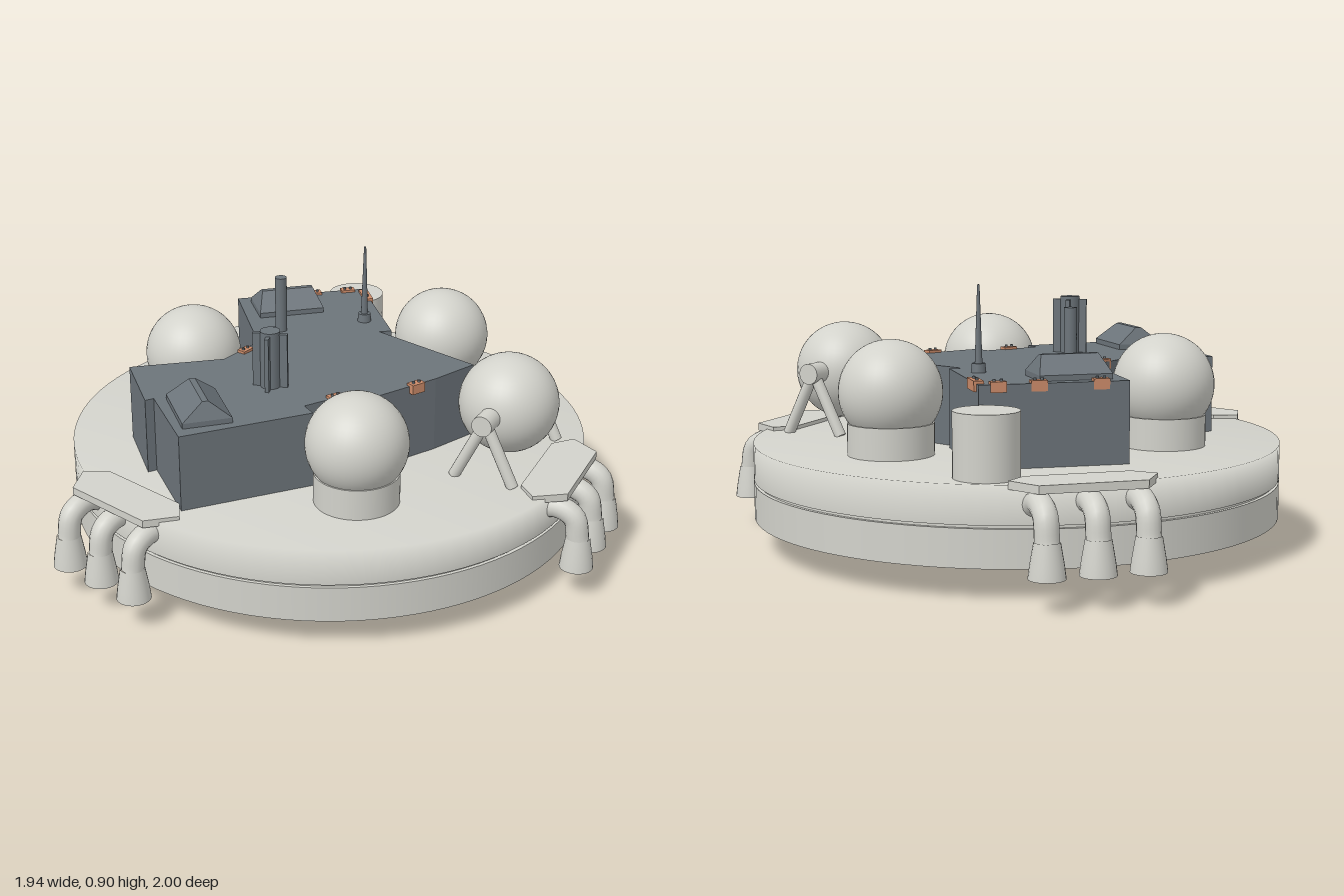
import * as THREE from 'three';
import { ConvexGeometry } from 'three/addons/geometries/ConvexGeometry.js';

const CX = 0.07, CZ = -0.04, DECK = 0.355, ROOF = 0.62;

export function createModel() {
  const root = new THREE.Group();
  const material = (name, color, side = THREE.FrontSide) =>
    Object.assign(new THREE.MeshStandardMaterial({ color, side }), { name });
  const hull = material('hull white', 0xd2d2cb);
  const slate = material('slate grey', 0x6c747a);
  const copper = material('copper', 0xcc8c6a);
  slate.side = THREE.DoubleSide;

  const add = (name, geometry, mat, x = 0, y = 0, z = 0, parent = root) => {
    const mesh = new THREE.Mesh(geometry, mat);
    mesh.name = name;
    mesh.position.set(x, y, z);
    parent.add(mesh);
    return mesh;
  };
  const group = (name, x, y, z, turn = 0) => {
    const g = new THREE.Group();
    g.name = name;
    g.position.set(x, y, z);
    g.rotation.y = turn;
    root.add(g);
    return g;
  };
  const lathe = (pts, n = 64) => new THREE.LatheGeometry(pts.map(p => new THREE.Vector2(...p)), n);
  const cyl = (r1, r2, h, n = 24) => new THREE.CylinderGeometry(r1, r2, h, n);
  // Cylinder between two points
  const rod = (name, a, b, r, mat, parent) => {
    const from = new THREE.Vector3(...a), to = new THREE.Vector3(...b);
    const dir = to.clone().sub(from);
    const m = add(name, cyl(r, r, dir.length(), 16), mat, 0, 0, 0, parent);
    m.position.copy(from).add(to).multiplyScalar(0.5);
    m.quaternion.setFromUnitVectors(new THREE.Vector3(0, 1, 0), dir.normalize());
  };
  // Flat outline in x, z raised from y0 by h
  const slab = (outline, y0, h) => {
    const shape = new THREE.Shape(outline.map(([x, z]) => new THREE.Vector2(x, -z)));
    const g = new THREE.ExtrudeGeometry(shape, { depth: h, bevelEnabled: false });
    return g.rotateX(-Math.PI / 2).translate(0, y0, 0);
  };

  // Saucer hull: two discs with a thin groove; the upper rim shades softly
  add('lowerHull', cyl(0.9, 0.9, 0.122, 96), hull, CX, 0.161, CZ);
  add('hullGroove', cyl(0.888, 0.888, 0.02, 96), hull, CX, 0.227, CZ);
  add('upperHull', lathe([[0.9, 0.232], [0.9, DECK], [0, DECK]], 96), hull, CX, 0, CZ);
  add('upperHullUnderside', new THREE.RingGeometry(0.88, 0.9, 96).rotateX(Math.PI / 2), hull, CX, 0.232, CZ);
  add('engineHub', cyl(0.39, 0.39, 0.08, 64), hull, CX, 0.062, CZ);

  // One central engine and three around it
  const engine = lathe([[0, 0.019], [0.05, 0.016], [0.078, 0.008], [0.09, 0], [0.092, 0.023]], 32);
  add('centralEngine', engine, slate, CX, 0, CZ);
  for (const deg of [72, 192, 312]) {
    const a = deg * Math.PI / 180;
    add('outerEngine', engine, slate, CX + 0.25 * Math.cos(a), 0, CZ + 0.25 * Math.sin(a));
  }

  // Thruster pods: a hexagonal plate over three bent nozzles
  const plate = slab([[-0.17, -0.2], [-0.235, -0.14], [-0.17, -0.04],
    [0.17, -0.04], [0.235, -0.14], [0.17, -0.2]], 0.342, 0.026);
  const bend = new THREE.TubeGeometry(new THREE.CatmullRomCurve3([
    [0.28, -0.17], [0.308, -0.08], [0.28, -0.018], [0.2, 0],
  ].map(([y, z]) => new THREE.Vector3(0, y, z))), 16, 0.038, 16);
  const bell = lathe([[0, 0.16], [0.03, 0.15], [0.034, 0.1], [0.034, 0.1], [0.057, 0.1],
    [0.057, 0.1], [0.052, 0.14], [0.04, 0.21]], 24);
  for (const [x, z, deg] of [[0.365, 0.89, 71.6], [0.645, -0.857, 303.1], [-0.91, -0.155, 180]]) {
    const a = deg * Math.PI / 180;
    const pod = group('thrusterPod', x, 0, z, Math.atan2(Math.cos(a), Math.sin(a)));
    add('podPlate', plate, hull, 0, 0, 0, pod);
    for (const i of [-1, 0, 1]) {
      add('nozzlePipe', bend, hull, i * 0.157, 0, 0, pod);
      add('nozzleBell', bell, hull, i * 0.157, 0, 0, pod);
    }
  }

  // Angular superstructure
  add('superstructure', slab([
    [0.25, -0.667], [0.645, -0.386], [0.397, -0.03], [0.362, -0.058], [0.355, 0.376],
    [0.175, 0.355], [-0.095, 0.296], [-0.085, 0.233], [-0.286, 0.175], [-0.307, 0.233],
    [-0.725, 0.04], [-0.58, -0.233], [-0.61, -0.243], [-0.46, -0.487], [-0.19, -0.296], [0, -0.317],
  ], DECK - 0.005, ROOF - DECK + 0.005), slate);

  // Spherical tanks, three on pedestals
  const ball = new THREE.SphereGeometry(0.17, 40, 28);
  for (const [x, z] of [[-0.285, 0.405], [0.61, 0.03], [-0.12, -0.525]]) {
    add('tank', ball, hull, x, 0.56, z);
    add('tankPedestal', cyl(0.142, 0.142, 0.11, 40), hull, x, DECK + 0.05, z);
  }

  // Fourth tank swings between two A-frames
  const cradle = group('tankCradle', 0.297, 0, 0.575, Math.atan2(20, 75));
  add('cradleTank', ball, hull, 0, 0.56, 0, cradle);
  for (const s of [-1, 1]) {
    rod('trunnion', [s * 0.165, 0.568, 0], [s * 0.24, 0.568, 0], 0.036, hull, cradle);
    for (const f of [-1, 1])
      rod('cradleStrut', [s * 0.205, 0.57, 0], [s * 0.205, DECK, f * 0.105], 0.02, hull, cradle);
  }

  // Upright drum beside the superstructure
  add('drum', cyl(0.104, 0.104, 0.21, 40), hull, 0.714, DECK + 0.1, -0.48);

  // Ridged roof hatches on low bases
  const corner = (x, y, z) => new THREE.Vector3(x, y, z);
  const hatch = new ConvexGeometry([
    ...[-0.12, 0.12].flatMap(x => [-0.083, 0.083].flatMap(z => [corner(x, 0, z), corner(x, 0.02, z)])),
    ...[-0.095, 0.095].flatMap(x => [corner(x, 0.078, -0.01), corner(x, 0.078, 0.01)]),
  ]);
  for (const [x, z, dx, dz] of [[-0.545, -0.053, -0.51, 0.86], [0.312, -0.47, 0.83, 0.55]])
    add('roofHatch', hatch, slate, x, ROOF - 0.002, z).rotation.y = Math.atan2(-dz, dx);

  // Finned mast, plain post and needle antenna
  const mast = group('finnedMast', -0.243, ROOF, -0.02, 0.55);
  add('mastCore', cyl(0.034, 0.034, 0.2, 20), slate, 0, 0.1, 0, mast);
  for (let i = 0; i < 4; i++) {
    const a = i * Math.PI / 2;
    add('mastFin', new THREE.BoxGeometry(0.035, 0.19, 0.014), slate,
      0.042 * Math.cos(a), 0.095, -0.042 * Math.sin(a), mast).rotation.y = a;
  }
  add('post', cyl(0.021, 0.021, 0.205), slate, 0.137, ROOF + 0.1, -0.333);
  add('antennaBase', cyl(0.022, 0.025, 0.03), slate, 0.407, ROOF + 0.015, -0.17);
  add('antennaNeedle', cyl(0.004, 0.013, 0.26, 12), slate, 0.407, ROOF + 0.155, -0.17);

  // Copper roof-edge fittings with dark studs: x, z, turn, length
  for (const [x, z, turn, length] of [
    [-0.09, -0.29, 0.06, 0.052], [-0.17, 0.206, -0.28, 0.052], [0.09, 0.339, -0.2, 0.052],
    [0.317, -0.603, -0.62, 0.052], [0.48, -0.487, -0.62, 0.052], [0.587, -0.413, -0.62, 0.052],
    [0.593, -0.325, 0.96, 0.1],
  ]) {
    const fitting = group('edgeFitting', x, ROOF - 0.008, z, turn);
    add('fittingBlock', new THREE.BoxGeometry(length, 0.034, 0.032), copper, 0, 0, 0, fitting);
    for (const s of [-1, 1])
      add('fittingStud', cyl(0.005, 0.005, 0.008, 10), slate, s * length * 0.22, 0.02, 0, fitting);
  }
  return root;
}
